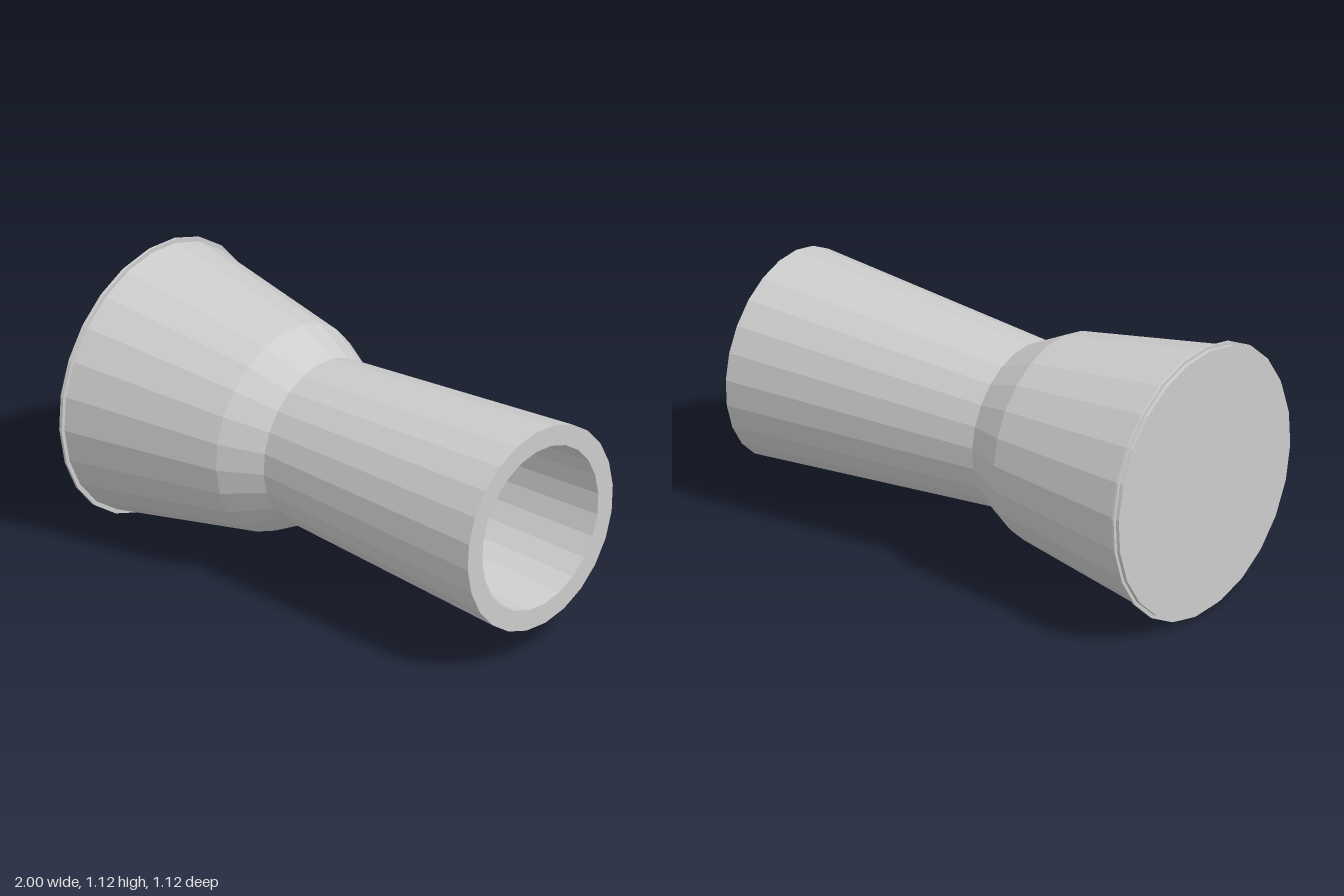
import * as THREE from 'three';

const SIDES = 24;
const AXIS_Y = 0.56;

const grey = new THREE.MeshStandardMaterial({ color: 0xcccccc });
grey.name = 'plain grey';

// Turned part lying along x; profile is a list of [x, radius] from -x to +x on the outside
function turned(name, profile) {
  const points = profile.map(([x, r]) => new THREE.Vector2(r, x));
  const lathe = new THREE.LatheGeometry(points, SIDES, THREE.MathUtils.degToRad(4));
  lathe.rotateZ(-Math.PI / 2);
  const geometry = lathe.toNonIndexed();
  geometry.computeVertexNormals(); // faceted sides
  const mesh = new THREE.Mesh(geometry, grey);
  mesh.name = name;
  mesh.position.y = AXIS_Y;
  return mesh;
}

export function createModel() {
  const group = new THREE.Group();
  group.name = 'flaredTube';

  // Closed wide end with its thin raised lip
  group.add(turned('endCap', [[-1, 0], [-1, 0.546], [-0.985, 0.546]]));
  group.add(turned('lip', [[-0.985, 0.546], [-0.985, 0.56], [-0.975, 0.56], [-0.975, 0.543]]));

  // Wide cup, shoulder and barrel
  group.add(turned('cup', [[-0.975, 0.543], [-0.3, 0.422]]));
  group.add(turned('shoulder', [[-0.3, 0.422], [-0.13, 0.336]]));
  group.add(turned('barrel', [[-0.13, 0.336], [1, 0.42]]));

  // Flat rim and the blind hole inside the barrel
  group.add(turned('rim', [[1, 0.42], [1, 0.336]]));
  group.add(turned('bore', [[1, 0.336], [0.35, 0.294], [0.35, 0]]));

  return group;
}
